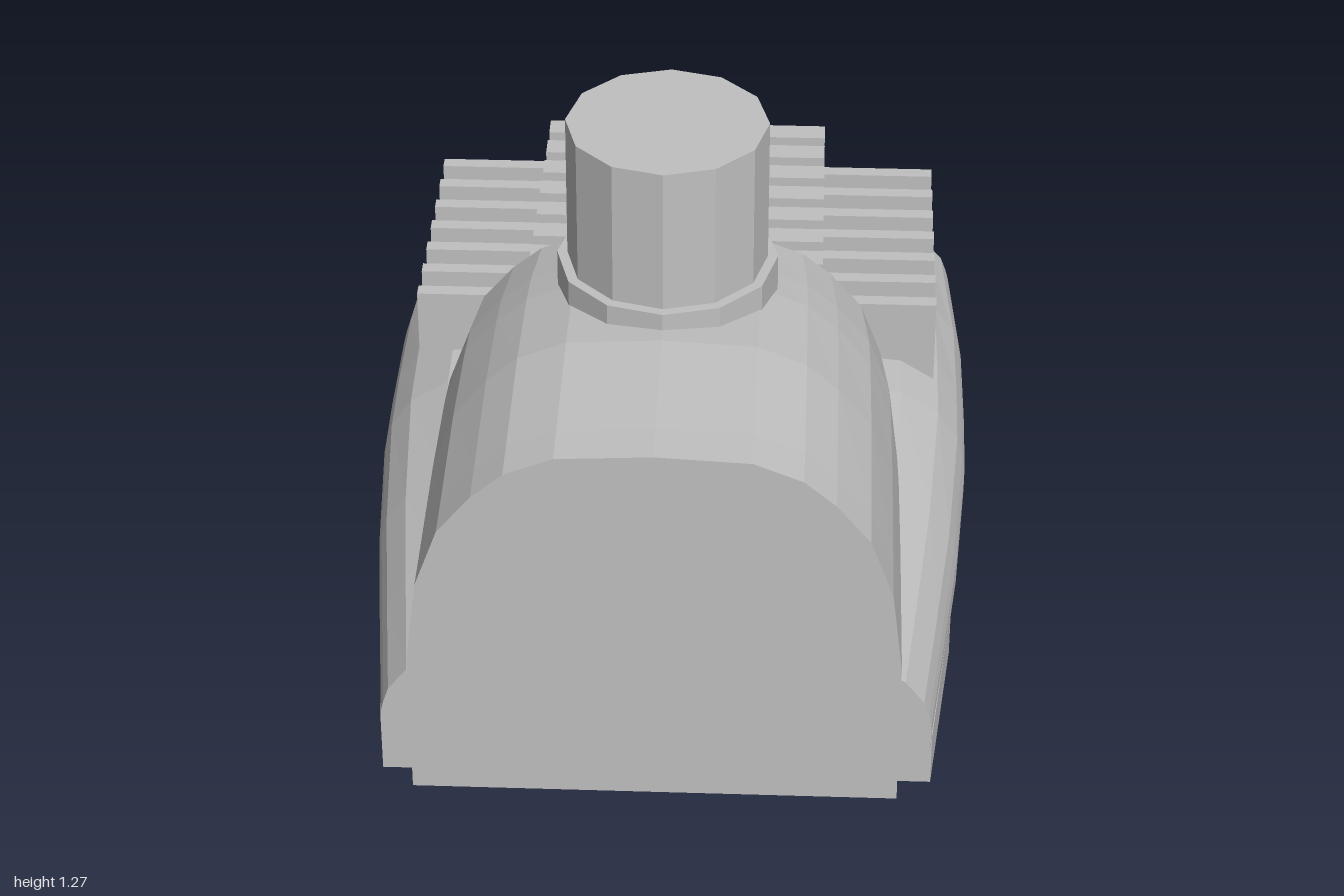
import * as THREE from 'three';

const grey = new THREE.MeshStandardMaterial({ color: 0xc0c0c0, side: THREE.DoubleSide });
grey.name = 'plain grey';

function part(name, geometry, x = 0, y = 0, z = 0) {
  const flat = geometry.index ? geometry.toNonIndexed() : geometry;
  flat.computeVertexNormals(); // faceted look
  const mesh = new THREE.Mesh(flat, grey);
  mesh.name = name;
  mesh.position.set(x, y, z);
  return mesh;
}

// Skins half profiles (bottom to top, last point on x = 0), mirrored in x.
// Sections run front to back; slot is a strip of the back cap left open.
function loft(sections, slot = -1) {
  const pos = [];
  const tri = (...p) => p.forEach(v => pos.push(...v));
  const quad = (a, b, c, d) => {
    if (b !== c) tri(a, b, c);
    if (c !== d) tri(a, c, d);
  };
  const rings = sections.map(({ z, half }) => [
    ...half.map(([x, y]) => [x, y, z]),
    ...half.slice(0, -1).reverse().map(([x, y]) => [-x, y, z]),
  ]);
  const n = rings[0].length;
  for (let s = 0; s + 1 < rings.length; s++) {
    const f = rings[s], b = rings[s + 1];
    for (let i = 0; i < n; i++) {
      const j = (i + 1) % n;
      quad(f[i], b[i], b[j], f[j]);
    }
  }
  const first = rings[0], last = rings[rings.length - 1];
  for (let i = 0; i < (n - 1) / 2; i++) {
    const l = n - 1 - i;
    quad(first[i], first[i + 1], first[l - 1], first[l]);
    if (i !== slot) quad(last[l], last[l - 1], last[i + 1], last[i]);
  }
  const g = new THREE.BufferGeometry();
  g.setAttribute('position', new THREE.Float32BufferAttribute(pos, 3));
  return g;
}

export function createModel() {
  const model = new THREE.Group();
  model.name = 'vacuumHead';

  // Base: rounded-shoulder slab, [z, half width, top height]
  const shoulder = [[1, 0], [0.99, 0.14], [0.97, 0.34], [0.9, 0.64], [0.77, 0.88], [0.45, 0.97], [0, 1]];
  const base = [
    [0.93, 0.585, 0.345], [0.65, 0.617, 0.36], [0.35, 0.65, 0.375], [0, 0.675, 0.4],
    [-0.2, 0.677, 0.4], [-0.45, 0.675, 0.38], [-0.79, 0.65, 0.345], [-0.92, 0.56, 0.31], [-1, 0.36, 0.27],
  ].map(([z, w, h]) => ({
    z,
    half: [[w, 0.1], ...shoulder.map(([u, v]) => [u * w, 0.165 + v * (h - 0.165)])],
  }));
  model.add(part('base', loft(base, 1)));
  model.add(part('rearSlotBack', new THREE.BoxGeometry(0.74, 0.04, 0.02), 0, 0.172, -0.96));

  // Foot under the front of the base
  const foot = [[0.92, 0.588], [0.48, 0.636]].map(([z, w]) => ({
    z, half: [[w, 0], [w, 0.13], [0, 0.13]],
  }));
  model.add(part('foot', loft(foot)));

  // Housing: arched tunnel closing at the rear, [z, half width, top, bottom]
  const arch = [[1, 0], [0.955, 0.36], [0.86, 0.62], [0.72, 0.79], [0.59, 0.9], [0.39, 0.98], [0, 1]];
  const housing = [
    [1, 0.515, 0.9, 0.02], [0.9, 0.515, 0.9, 0.02], [0.6, 0.515, 0.91, 0.13], [0.35, 0.513, 0.89, 0.15],
    [0.25, 0.51, 0.875, 0.15], [0.09, 0.49, 0.85, 0.15], [-0.03, 0.42, 0.72, 0.15], [-0.11, 0.22, 0.42, 0.15],
  ].map(([z, w, h, b]) => ({
    z,
    half: [[w, b], ...arch.map(([u, v]) => [u * w, 0.37 + v * (h - 0.37)])],
  }));
  model.add(part('housing', loft(housing)));

  // Pipe and collar
  model.add(part('collar', new THREE.CylinderGeometry(0.237, 0.237, 0.125, 12), 0, 0.8825, 0.32));
  model.add(part('pipe', new THREE.CylinderGeometry(0.215, 0.215, 0.425, 12), 0, 1.0625, 0.32));

  // Cooling ribs: thick centre blade with thin, lower side blades
  const bottom = 0.31;
  for (let i = 0; i < 7; i++) {
    const z = -0.145 - 0.107 * i;
    const top = 0.64 - 0.009 * i;
    const sideTop = 0.527 - 0.0085 * i;
    const rib = new THREE.Group();
    rib.name = 'rib' + (i + 1);
    rib.add(part('centreBlade', new THREE.BoxGeometry(0.67, top - bottom, 0.056), 0, (top + bottom) / 2, z));
    for (const s of [-1, 1]) {
      rib.add(part(s > 0 ? 'leftBlade' : 'rightBlade',
        new THREE.BoxGeometry(0.27, sideTop - bottom, 0.034), s * 0.463, (sideTop + bottom) / 2, z));
    }
    model.add(rib);
  }
  return model;
}
